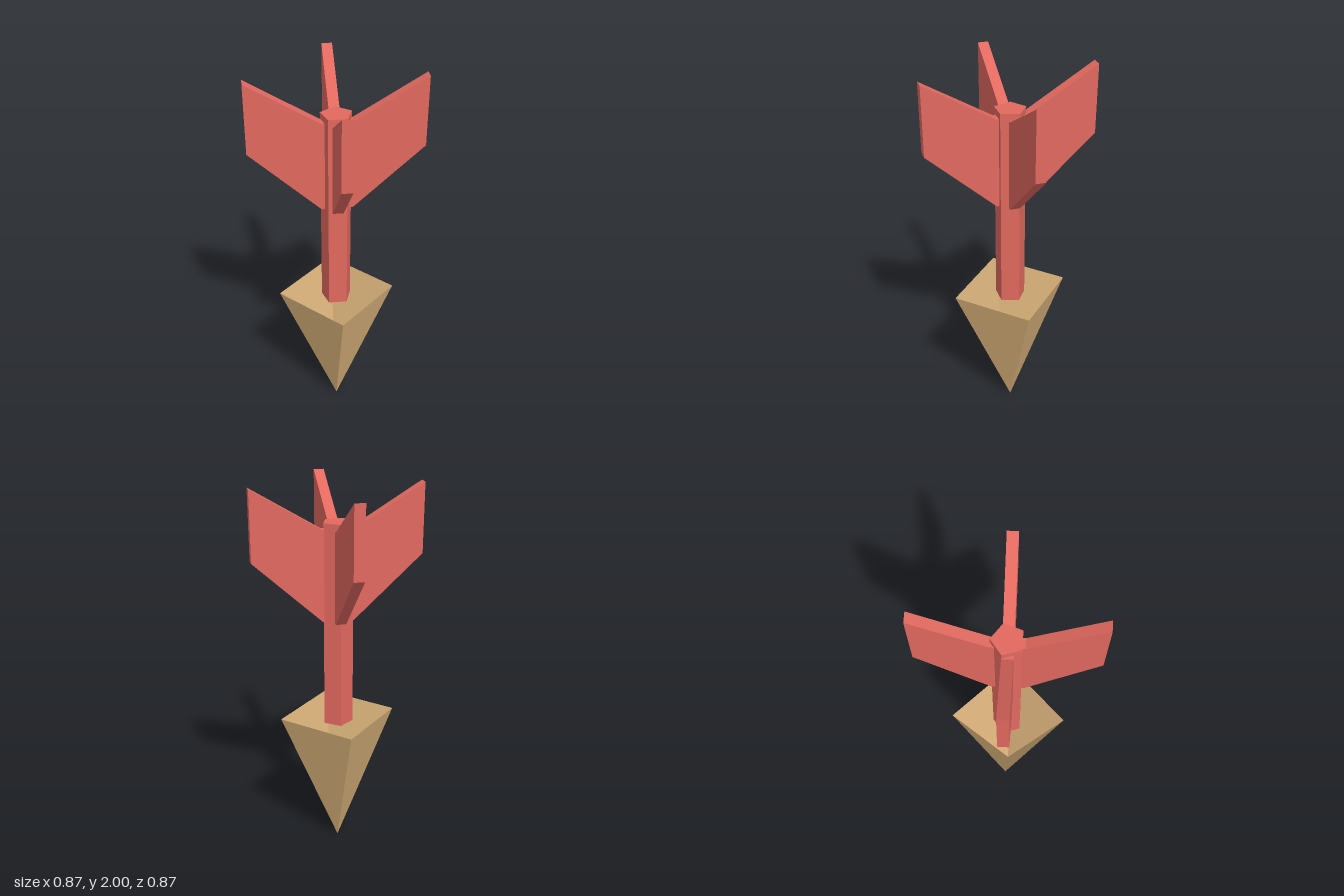
import * as THREE from 'three';

export function createModel() {
  const model = new THREE.Group();
  const red = new THREE.MeshStandardMaterial({ name: 'red', color: 0xe2695f, flatShading: true });
  const tan = new THREE.MeshStandardMaterial({ name: 'tan', color: 0xdcb47c, flatShading: true, side: THREE.DoubleSide });

  const add = (name, geometry, material) => {
    const mesh = new THREE.Mesh(geometry, material);
    mesh.name = name;
    model.add(mesh);
    return mesh;
  };

  // Hollow four-sided point, open at the top, tip on the ground
  const headHeight = 0.77;
  const head = new THREE.ConeGeometry(0.308, headHeight, 4, 1, true);
  head.rotateX(Math.PI).translate(0, headHeight / 2, 0);
  add('head', head, tan);

  // Five-sided shaft with one corner to the back
  const bottom = 0.735, top = 1.82;
  const shaft = new THREE.CylinderGeometry(0.081, 0.081, top - bottom, 5);
  shaft.rotateY(Math.PI).translate(0, (top + bottom) / 2, 0);
  add('shaft', shaft, red);

  // Four swept fins, each rooted inside the shaft
  const profile = new THREE.Shape([
    [0.03, 1.31], [0.08, 1.31], [0.437, 1.64], [0.437, 2], [0.08, 1.785], [0.03, 1.785],
  ].map(([x, y]) => new THREE.Vector2(x, y)));
  const thickness = 0.054;
  const fin = new THREE.ExtrudeGeometry(profile, { depth: thickness, bevelEnabled: false });
  fin.translate(0, 0, -thickness / 2);
  ['leftFin', 'backFin', 'rightFin', 'frontFin'].forEach((name, i) => {
    add(name, fin, red).rotation.y = i * Math.PI / 2;
  });

  return model;
}
